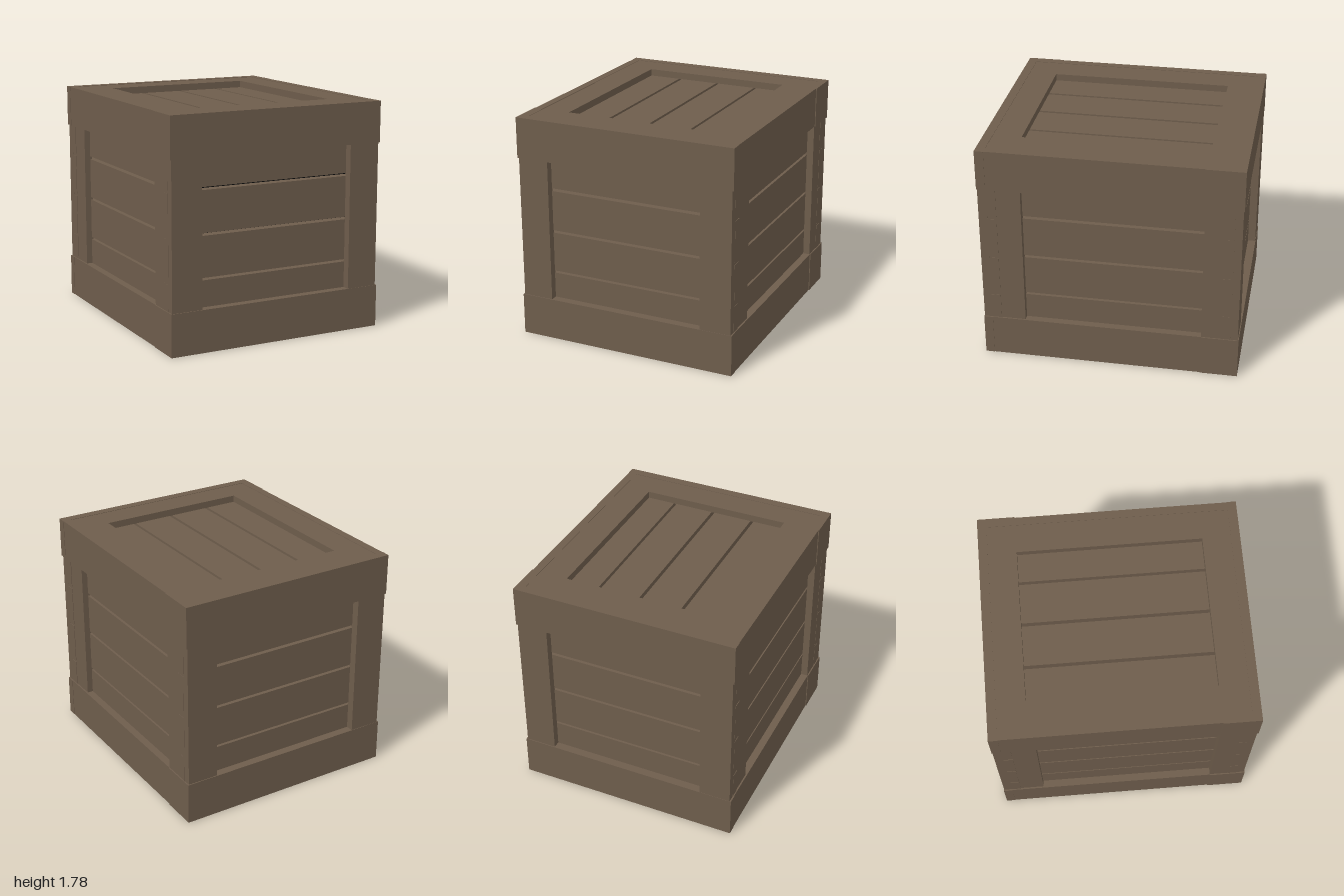
import * as THREE from 'three';

export function createModel() {
  const crate = new THREE.Group();
  crate.name = 'woodenCrate';
  const wood = new THREE.MeshStandardMaterial({ color: 0x6e5d4c });
  const dark = new THREE.MeshStandardMaterial({ color: 0x0a0a0a });

  // Box given by its limits on each axis
  function box(parent, name, [x0, x1], [y0, y1], [z0, z1], material = wood) {
    const mesh = new THREE.Mesh(new THREE.BoxGeometry(x1 - x0, y1 - y0, z1 - z0), material);
    mesh.position.set((x0 + x1) / 2, (y0 + y1) / 2, (z0 + z1) / 2);
    mesh.name = name;
    parent.add(mesh);
  }

  const H = 1.78;
  // Limits of the four boards of a wall (heights) and of the lid (widths)
  const wallSlats = [[0.22, 0.535], [0.553, 0.87], [0.89, 1.21], [1.232, 1.56]];
  const lidSlats = [[-0.74, -0.335], [-0.31, 0.005], [0.03, 0.345], [0.367, 0.74]];

  // One end wall and one side wall; the other pair is the same turned half way round
  function buildHalf(name) {
    const half = new THREE.Group();
    half.name = name;

    for (const [label, y] of [['lower', [0, 0.33]], ['upper', [1.46, H]]]) {
      box(half, label + 'EndRail', [-0.89, 0.887], y, [0.93, 1]);
      box(half, label + 'EndRailReturn', [-0.89, -0.82], y, [0.71, 0.93]);
      box(half, label + 'SideRail', [0.82, 0.884], y, [-0.71, 0.93]);
    }

    // Upright corner boards
    const mid = [0.33, 1.46];
    box(half, 'endStileRight', [-0.88, -0.635], mid, [0.93, 0.993]);
    box(half, 'endStileLeft', [0.625, 0.875], mid, [0.93, 0.997]);
    box(half, 'sideStileFront', [0.81, 0.872], mid, [0.67, 0.932]);
    box(half, 'sideStileBack', [0.81, 0.88], mid, [-0.932, -0.71]);

    // Horizontal boards
    for (const y of wallSlats) {
      box(half, 'endSlat', [-0.882, 0.876], y, [0.86, 0.935]);
      box(half, 'sideSlat', [0.755, 0.825], y, [-0.86, 0.86]);
    }

    // Borders of the lid and the floor
    for (const [label, y] of [['floor', [0.003, 0.06]], ['lid', [1.72, H - 0.003]]]) {
      box(half, label + 'EndBorder', [-0.885, 0.88], y, [0.71, 0.995]);
      box(half, label + 'SideBorder', [0.595, 0.88], y, [-0.71, 0.71]);
    }
    return half;
  }

  crate.add(buildHalf('frontAndLeftWalls'));
  const other = buildHalf('backAndRightWalls');
  other.rotation.y = Math.PI;
  crate.add(other);

  // Recessed boards of the lid and the floor
  for (const x of lidSlats) {
    box(crate, 'lidSlat', x, [1.65, 1.722], [-0.86, 0.86]);
    box(crate, 'floorSlat', x, [0.058, 0.13], [-0.86, 0.86]);
  }

  // Dark core behind the gaps
  box(crate, 'darkCore', [-0.565, 0.75], [0.14, 1.64], [-0.84, 0.84], dark);
  return crate;
}
